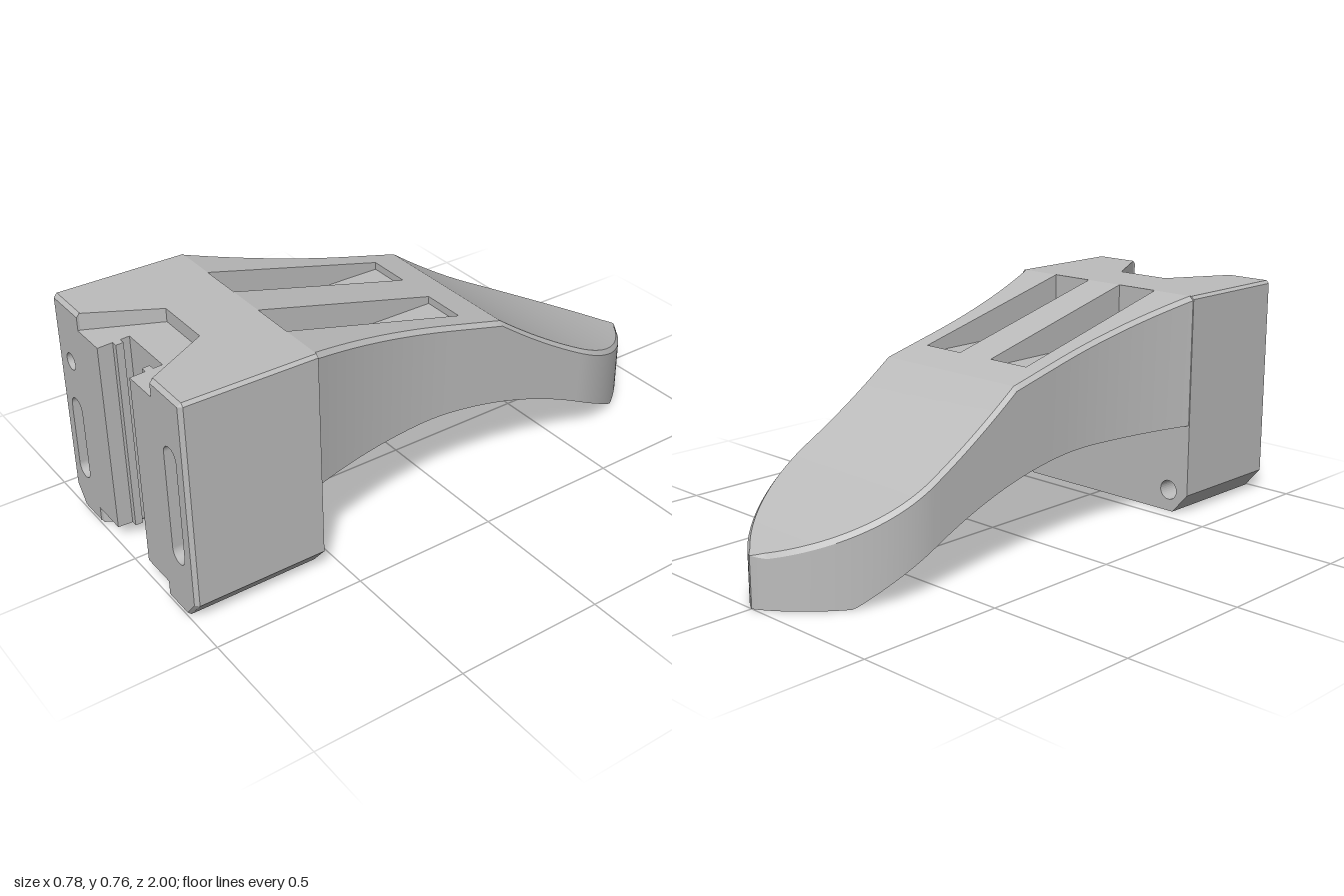
import * as THREE from 'three';
import { toCreasedNormals } from 'three/addons/utils/BufferGeometryUtils.js';

const H = 0.765, BACK = 0.555, MID = 0.77, FRONT = 1;

const shapeOf = (pts) => new THREE.Shape(pts.map(([x, y]) => new THREE.Vector2(x, y)));

function circle(x, y, r) {
  return new THREE.Path().absarc(x, y, r, 0, Math.PI * 2, false);
}

// Vertical rounded slot
function slot(x, y0, y1, r) {
  const p = new THREE.Path();
  p.absarc(x, y1 - r, r, 0, Math.PI, false);
  p.absarc(x, y0 + r, r, Math.PI, Math.PI * 2, false);
  p.closePath();
  return p;
}

function extrude(shape, depth) {
  return new THREE.ExtrudeGeometry(shape, { depth, bevelEnabled: false, curveSegments: 16 });
}

// Extrude a plan outline given as [x, z] upward from y0 to y1
function plan(pts, y0, y1) {
  return extrude(shapeOf(pts.map(([x, z]) => [x, -z])), y1 - y0).rotateX(-Math.PI / 2).translate(0, y0, 0);
}

function moveVertices(geo, rule) {
  const p = geo.attributes.position, v = new THREE.Vector3();
  for (let i = 0; i < p.count; i++) {
    rule(v.fromBufferAttribute(p, i));
    p.setXYZ(i, v.x, v.y, v.z);
  }
  geo.computeVertexNormals();
  return geo;
}

// Side and plan curves of the arm
const halfWidth = (z) => {
  if (z > 0) return 0.3 + 0.087 * (z / BACK) ** 2;
  if (z > -0.55) return 0.3;
  const t = Math.min(1, (-z - 0.55) / 0.45);
  return 0.3 * (1 - t ** 1.9) ** 0.85;
};
const topY = (z) => {
  if (z > -0.2) return 0.575 + 0.19 * (z + 0.2) / 0.755;
  const u = (-0.2 - z) / 0.8;
  return 0.575 - 0.59 * u + 0.18 * u * u;
};
const bottomY = (z) => Math.max(0, 0.32 - 0.358 * Math.max(0, 0.15 - z) ** 2);

// Arm skinned over cross-sections, with two flat-floored slots in its top
function armGeometry() {
  const floor = 0.58, slotEnd = -0.08;
  const section = (z, cut) => {
    const w = halfWidth(z), t = topY(z), b = bottomY(z);
    const c = Math.min(0.014, w * 0.3), f = cut ? floor : t;
    const xo = Math.min(0.225, w - c), xi = Math.min(0.07, xo);
    const half = [[w, b], [w, t - c], [w - c, t], [xo, t], [xo, f], [xi, f], [xi, t]];
    return [...half, ...half.map(([x, y]) => [-x, y]).reverse()].map(([x, y]) => [x, y, z]);
  };
  const rows = [];
  for (let i = 0; i <= 20; i++) rows.push(section(BACK + (slotEnd - BACK) * i / 20, true));
  rows.push(section(slotEnd, false));
  for (let i = 1; i <= 4; i++) rows.push(section(slotEnd - 0.12 * i / 4, false));
  for (let i = 1; i <= 14; i++) rows.push(section(-0.2 - 0.35 * i / 14, false));
  for (let i = 1; i <= 40; i++) rows.push(section(-0.55 - 0.45 * Math.sin(i / 40 * Math.PI / 2), false));
  const n = rows[0].length, index = [];
  for (let i = 0; i < rows.length - 1; i++) {
    for (let j = 0; j < n; j++) {
      const k = (j + 1) % n;
      const a = i * n + j, b = i * n + k, c = b + n, d = a + n;
      index.push(a, d, c, a, c, b);
    }
  }
  const geo = new THREE.BufferGeometry();
  geo.setAttribute('position', new THREE.Float32BufferAttribute(rows.flat(2), 3));
  geo.setIndex(index);
  return toCreasedNormals(geo, 0.33);
}

export function createModel() {
  const group = new THREE.Group();
  const grey = new THREE.MeshStandardMaterial({ color: 0xbcbcbc });
  grey.name = 'light grey';
  const add = (name, geo) => {
    const mesh = new THREE.Mesh(geo, grey);
    mesh.name = name;
    group.add(mesh);
  };

  // Rear half of the block, with screw holes
  const side = [[0.33, 0], [0.39, 0.07], [0.39, H - 0.01], [0.38, H]];
  const rear = shapeOf([...side, ...side.map(([x, y]) => [-x, y]).reverse()]);
  for (const s of [-1, 1]) rear.holes.push(circle(s * 0.15, 0.68, 0.034), circle(s * 0.31, 0.075, 0.034));
  add('rearBlock', extrude(rear, MID - BACK).translate(0, 0, BACK));

  // Front cheeks with pockets and a bevelled front rim
  const rim = 0.012;
  for (const s of [-1, 1]) {
    const cheek = shapeOf([[0.225, 0], ...side, [0.225, H]].map(([x, y]) => [s * x, y]));
    if (s > 0) cheek.holes.push(slot(0.307, 0.18, 0.585, 0.035));
    else cheek.holes.push(slot(-0.307, 0.135, 0.428, 0.035), circle(-0.307, 0.563, 0.028));
    const name = s > 0 ? 'left' : 'right';
    add(name + 'Cheek', extrude(cheek, FRONT - rim - MID).translate(0, 0, MID));
    const bevel = extrude(cheek, rim).translate(0, 0, FRONT - rim);
    add(name + 'CheekRim', moveVertices(bevel, (v) => {
      if (v.z < FRONT - rim / 2) return;
      v.x = THREE.MathUtils.clamp(v.x, rim - 0.39, 0.39 - rim);
      v.y = THREE.MathUtils.clamp(v.y, rim, H - rim);
    }));

    // Sloped walls of the top and bottom recesses
    const wedge = [[0.225, FRONT - 0.008], [0.225, MID], [0.1, MID]].map(([x, z]) => [s * x, z]);
    add(name + 'TopWedge', plan(wedge, 0.7, H));
    add(name + 'BottomWedge', plan(wedge, 0, 0.07));
  }

  // Conical bottom of the round hole
  const cone = new THREE.LatheGeometry([new THREE.Vector2(0.028, 0), new THREE.Vector2(0, -0.03)], 24);
  add('holeCone', cone.rotateX(Math.PI / 2).translate(-0.307, 0.563, 0.93));

  // Centre rail with a lipped channel; its ends slope towards the back
  const channel = [[0.225, MID], [0.225, FRONT], [0.1, FRONT], [0.1, 0.95], [0.08, 0.95], [0.08, 0.925], [0.1, 0.925], [0.1, 0.895]];
  const rail = plan([...channel, ...channel.map(([x, z]) => [-x, z]).reverse()], 0.06, 0.708);
  add('channelRail', moveVertices(rail, (v) => {
    v.y += (v.y > 0.4 ? 1 : -1) * (FRONT - v.z) * 0.052;
  }));

  add('arm', armGeometry());
  return group;
}
